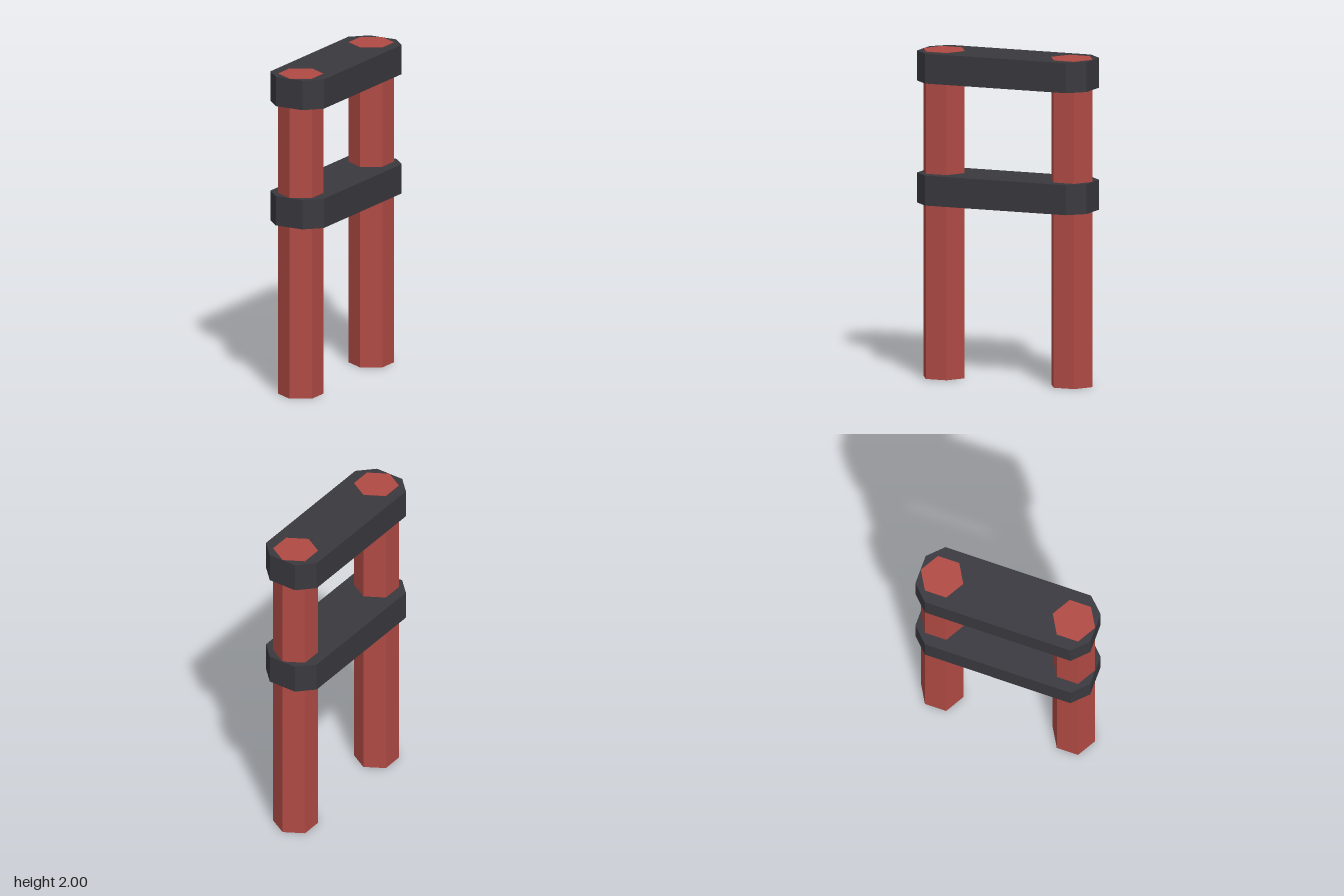
import * as THREE from 'three';

export function createModel() {
  const group = new THREE.Group();
  const red = new THREE.MeshStandardMaterial({ color: 0xb04a44 });
  red.name = 'red';
  red.flatShading = true;
  const charcoal = new THREE.MeshStandardMaterial({ color: 0x39383e });
  charcoal.name = 'charcoal';
  charcoal.flatShading = true;

  // Two hexagonal posts, corners pointing along z
  const postGeometry = new THREE.CylinderGeometry(0.136, 0.136, 2, 6);
  for (const [name, z] of [['frontPost', 0.422], ['backPost', -0.422]]) {
    const post = new THREE.Mesh(postGeometry, red);
    post.name = name;
    post.position.set(0, 1, z);
    group.add(post);
  }

  // Two crossbars: long octagons with cut corners
  const w = 0.187, l = 0.56, cut = 0.094;
  const outline = new THREE.Shape([
    [w, -l + cut], [w, l - cut], [w - cut, l], [-w + cut, l],
    [-w, l - cut], [-w, -l + cut], [-w + cut, -l], [w - cut, -l],
  ].map(([x, y]) => new THREE.Vector2(x, y)));
  const barGeometry = new THREE.ExtrudeGeometry(outline, { depth: 0.183, bevelEnabled: false });
  barGeometry.rotateX(-Math.PI / 2);

  // The post ends stand just proud of the top bar
  for (const [name, y] of [['middleBar', 1.07], ['topBar', 1.815]]) {
    const bar = new THREE.Mesh(barGeometry, charcoal);
    bar.name = name;
    bar.position.y = y;
    group.add(bar);
  }
  return group;
}
